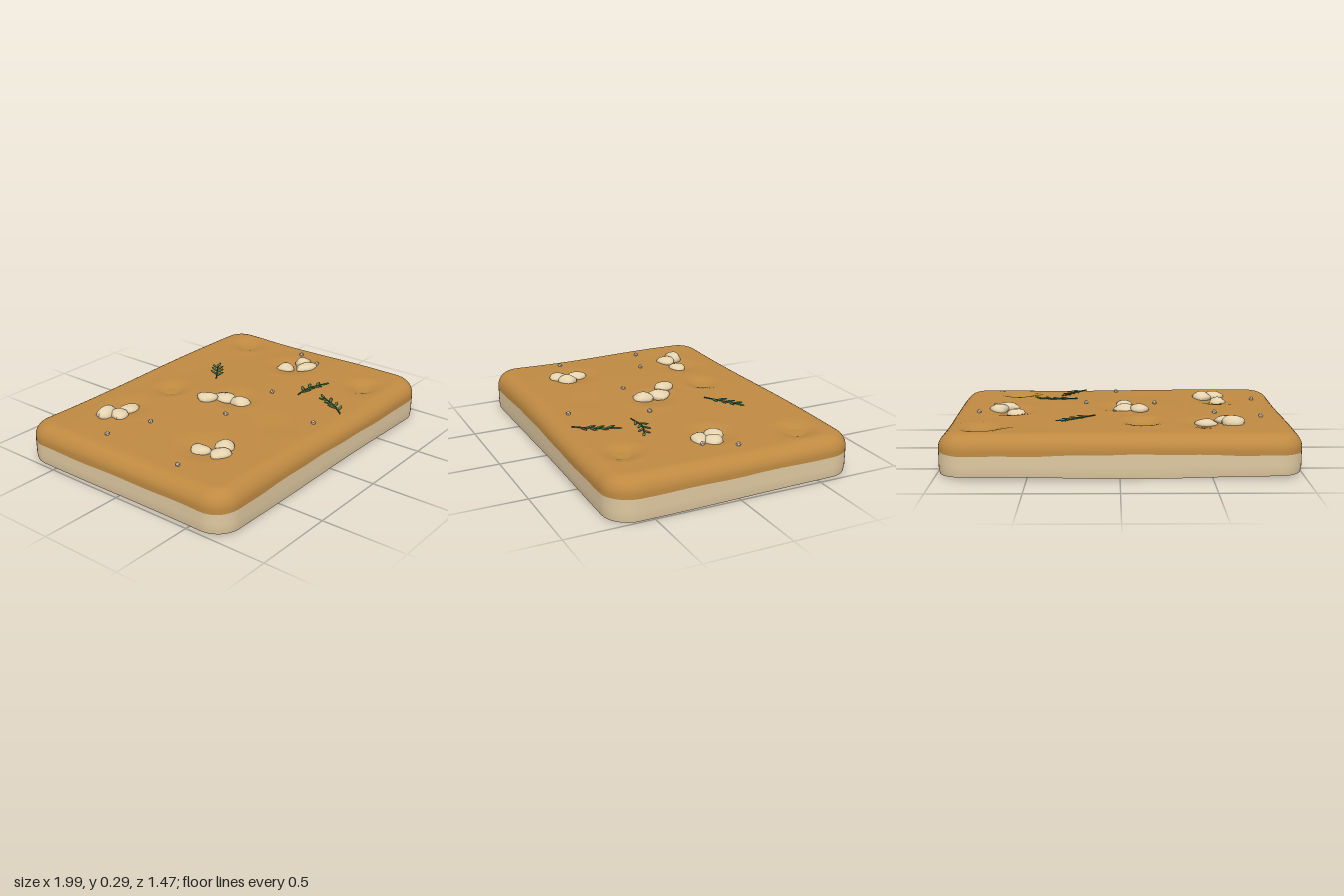
import * as THREE from 'three';

const HX = 0.993, HZ = 0.73, CORNER = 0.15, BEVEL = 0.095;
// x, z, radius, depth of the finger dimples
const dimples = [
  [-0.48, -0.4, 0.15, 0.02], [-0.13, -0.37, 0.12, 0.03], [0.77, -0.48, 0.13, 0.03], [0, 0.03, 0.15, 0.02],
  [0.63, -0.02, 0.15, 0.025], [-0.6, 0.29, 0.16, 0.02], [0.645, 0.52, 0.12, 0.03], [-0.14, 0.42, 0.15, 0.007],
];

const mat = (name, color, side = THREE.FrontSide) => {
  const m = new THREE.MeshStandardMaterial({ color, side });
  m.name = name;
  return m;
};

// Gentle swelling of the top surface
const swell = (x, z) => 0.005 * Math.sin(3.2 * x + 1.5 * z + 2) + 0.004 * Math.cos(5 * z - 2 * x);

function topHeight(x, z) {
  let y = 0.239 + swell(x, z);
  for (const [dx, dz, r, depth] of dimples) {
    const q = Math.hypot(x - dx, z - dz) / r;
    y -= depth * Math.exp(-2.6 * q * q);
    y += depth * 0.12 * Math.exp(-14 * (q - 1.1) ** 2);
  }
  return y;
}

// Points round a rounded rectangle, moved inwards by inset
function outline(inset, scale = 1) {
  const pts = [], r = CORNER - inset, arc = 10, straight = 24;
  const sx = [1, -1, -1, 1], sz = [1, 1, -1, -1];
  const corner = (k, a) => [sx[k] * (HX - CORNER) + r * Math.cos(a), sz[k] * (HZ - CORNER) + r * Math.sin(a)];
  for (let k = 0; k < 4; k++) {
    for (let i = 0; i < arc; i++) pts.push(corner(k, (k + i / arc) * Math.PI / 2));
    const a = corner(k, (k + 1) * Math.PI / 2), b = corner((k + 1) % 4, (k + 1) * Math.PI / 2);
    for (let i = 0; i < straight; i++) {
      const t = i / straight;
      pts.push([a[0] + (b[0] - a[0]) * t, a[1] + (b[1] - a[1]) * t]);
    }
  }
  return pts.map(([x, z]) => [
    x * scale + 0.004 * scale * Math.sin(4 * z),
    z * scale - 0.007 * scale * Math.sin(3 * x + 3) * Math.sign(z) * Math.min(1, Math.abs(z) * 3),
  ]);
}

function skin(rings) {
  const n = rings[0].length, index = [];
  for (let j = 0; j < rings.length - 1; j++) {
    for (let i = 0; i < n; i++) {
      const a = j * n + i, b = j * n + (i + 1) % n;
      index.push(a, a + n, b, b, a + n, b + n);
    }
  }
  const g = new THREE.BufferGeometry();
  g.setAttribute('position', new THREE.Float32BufferAttribute(rings.flat(2), 3));
  g.setIndex(index);
  g.computeVertexNormals();
  return g;
}

const seamHeight = (x, z) => 0.131 + 0.004 * Math.sin(4 * x + 2) + 0.002 * Math.sin(17 * x + 13 * z);
const bottomHeight = (x, z) => 0.007 - 0.007 * Math.sin(4 * x + 2.7 + z);

export function createModel() {
  const group = new THREE.Group();
  const crustMat = mat('golden crust', 0xbf8a42, THREE.DoubleSide);
  const doughMat = mat('pale dough', 0xdfc8a0, THREE.DoubleSide);
  const oilMat = mat('olive oil', 0xc08c40, THREE.DoubleSide);
  const cloveMat = mat('garlic', 0xe6d3ae);
  const leafMat = mat('rosemary leaf', 0x4f8256, THREE.DoubleSide);
  const stemMat = mat('rosemary stem', 0x3c5c34);
  const saltMat = mat('salt', 0xd6cabb);
  const add = (name, geo, material, parent = group) => {
    const m = new THREE.Mesh(geo, material);
    m.name = name;
    parent.add(m);
    return m;
  };

  // Pale side wall, open underneath
  const wall = [0, 0.25, 0.5, 0.75, 1].map((t) => outline(t === 0 ? 0.005 : 0).map(([x, z]) =>
    [x, bottomHeight(x, z) * (1 - t) + seamHeight(x, z) * t, z]));
  add('doughWall', skin(wall), doughMat);

  // Golden crust: rounded shoulder, then a dimpled top
  const crust = [];
  crust.push(outline(0).map(([x, z]) => [x, seamHeight(x, z), z]));
  for (let i = 0; i <= 10; i++) {
    const a = i / 10 * Math.PI / 2;
    crust.push(outline(BEVEL * (1 - Math.cos(a))).map(([x, z]) => {
      const base = 0.15;
      return [x, base + (topHeight(x, z) - base) * Math.sin(a), z];
    }));
  }
  for (let i = 1; i <= 56; i++) {
    crust.push(outline(BEVEL, Math.max(1 - i / 56, 0.0005)).map(([x, z]) => [x, topHeight(x, z), z]));
  }
  add('crust', skin(crust), crustMat);

  // Small oil pools in the empty dimples
  for (const k of [1, 2, 6]) {
    const [x, z] = dimples[k];
    const pool = add('oilPool', new THREE.CylinderGeometry(0.072, 0.068, 0.006, 32), oilMat);
    pool.position.set(x, topHeight(x, z) + 0.007, z);
  }

  // Garlic cloves: x, z, half width, half depth, half height, turn
  const cloves = [
    [-0.64, -0.42, 0.066, 0.05, 0.04, 0.1], [-0.6, -0.35, 0.058, 0.055, 0.028, 0.5], [-0.49, -0.38, 0.062, 0.052, 0.028, -0.3],
    [-0.12, -0.095, 0.052, 0.064, 0.03, 0.5], [-0.035, -0.025, 0.066, 0.066, 0.03, -0.5], [-0.03, 0.085, 0.054, 0.064, 0.033, -0.1],
    [0.61, -0.045, 0.056, 0.055, 0.03, 0.7], [0.72, 0.02, 0.056, 0.056, 0.034, 0.2], [0.67, 0.078, 0.068, 0.046, 0.03, -0.4],
    [-0.62, 0.28, 0.052, 0.062, 0.03, 0.2], [-0.61, 0.41, 0.056, 0.055, 0.03, 0.4], [-0.53, 0.375, 0.06, 0.056, 0.035, 0.6],
  ];
  cloves.forEach(([x, z, rx, rz, ry, turn], k) => {
    const g = new THREE.SphereGeometry(1, 14, 9);
    const p = g.attributes.position;
    for (let i = 0; i < p.count; i++) {
      const v = new THREE.Vector3().fromBufferAttribute(p, i);
      const s = 1 + 0.09 * Math.sin(3 * v.x + k) * Math.cos(2.5 * v.z + 2 * k) + 0.06 * Math.sin(4 * v.z + v.y * 3 + k);
      v.multiplyScalar(s);
      p.setXYZ(i, v.x * rx, v.y * ry, v.z * rz);
    }
    g.computeVertexNormals();
    const m = add('garlicClove', g, cloveMat);
    m.position.set(x, topHeight(x, z) + 0.007, z);
    m.rotation.y = turn;
  });

  // Rosemary sprigs: start, middle and tip on the top surface
  const sprigs = [
    [[0.14, -0.24], [0.24, -0.315], [0.33, -0.38]],
    [[0.26, 0.295], [0.38, 0.285], [0.51, 0.325]],
    [[0.21, 0.635], [0.285, 0.54], [0.345, 0.415]],
  ];
  for (const pts of sprigs) {
    const sprig = new THREE.Group();
    sprig.name = 'rosemarySprig';
    group.add(sprig);
    const curve = new THREE.CatmullRomCurve3(pts.map(([x, z]) => new THREE.Vector3(x, topHeight(x, z) + 0.008, z)));
    add('stem', new THREE.TubeGeometry(curve, 12, 0.004, 6), stemMat, sprig);
    for (let i = 0; i < 7; i++) {
      const at = curve.getPoint(0.2 + i * 0.115), dir = curve.getTangent(0.2 + i * 0.115);
      const side = i % 2 ? 1 : -1, len = 0.068 - i * 0.002;
      const g = new THREE.SphereGeometry(1, 8, 6);
      g.rotateZ(Math.PI / 2);
      g.scale(len / 2, 0.004, 0.009);
      g.translate(len / 2, 0, 0);
      const leaf = add('leaf', g, leafMat, sprig);
      leaf.position.copy(at);
      leaf.rotation.set(0, Math.atan2(-dir.z, dir.x) + side * (i === 6 ? 0.2 : 0.62), 0.06, 'YXZ');
    }
  }

  // Coarse salt grains
  const grains = [[-0.82, -0.23], [-0.56, -0.145], [-0.22, 0.13], [0.2, 0.15], [0.83, -0.075], [0.75, 0.1], [-0.84, 0.31], [0.015, 0.58]];
  grains.forEach(([x, z], k) => {
    const m = add('saltGrain', new THREE.DodecahedronGeometry(0.014, 0), saltMat);
    m.position.set(x, topHeight(x, z) + 0.007, z);
    m.rotation.set(k, k * 2, 0.4 * k);
  });

  return group;
}
